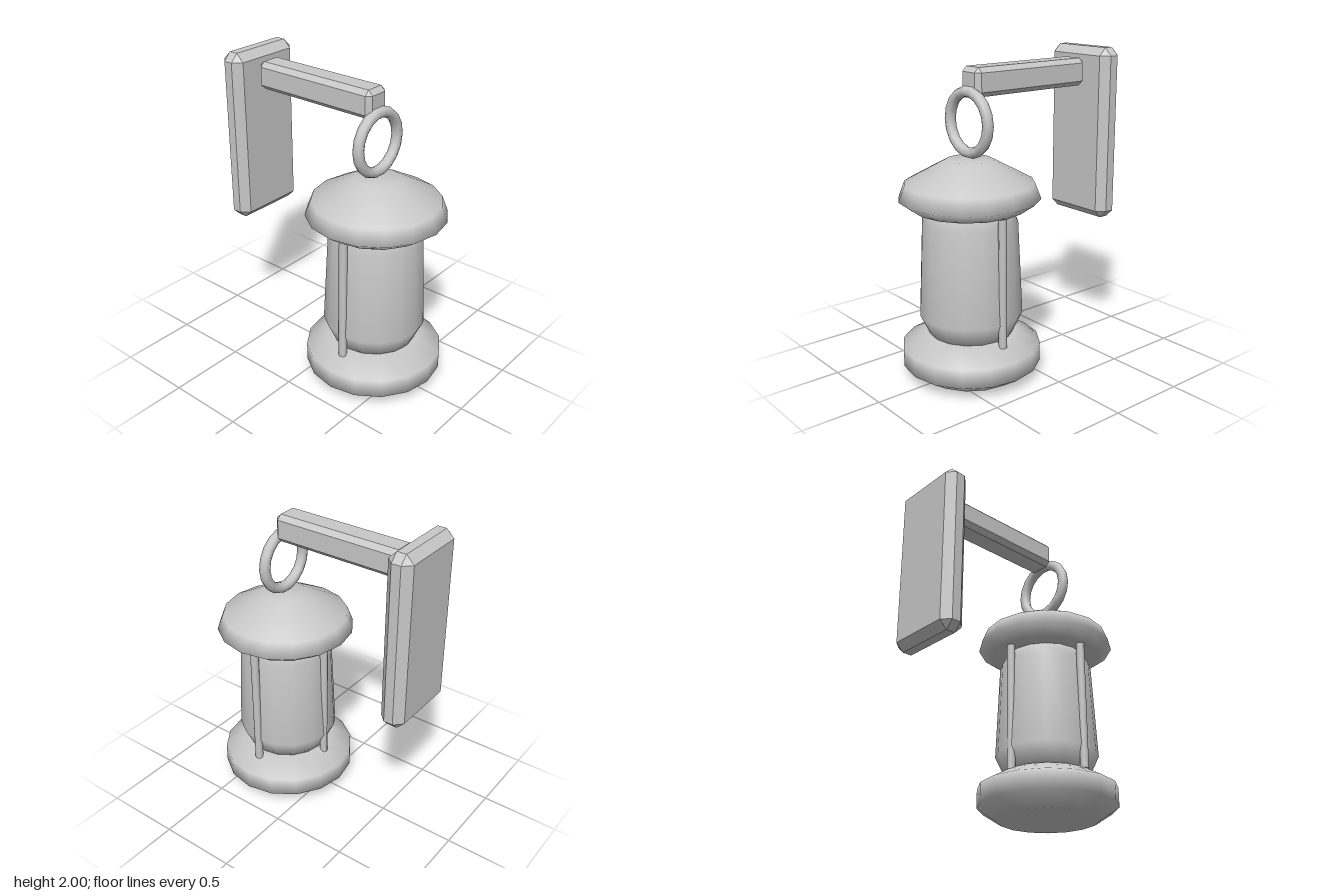
import * as THREE from 'three';
import { ConvexGeometry } from 'three/addons/geometries/ConvexGeometry.js';

const metal = new THREE.MeshStandardMaterial({ color: 0xc8c8c8 });
metal.name = 'light grey';

const LANTERN_Z = 0.302;

// Box with every edge cut by one flat bevel
function beveledBox(w, h, d, b) {
  const pts = [];
  for (const sx of [-1, 1]) for (const sy of [-1, 1]) for (const sz of [-1, 1]) {
    const x = w / 2, y = h / 2, z = d / 2;
    pts.push(
      new THREE.Vector3(sx * x, sy * (y - b), sz * (z - b)),
      new THREE.Vector3(sx * (x - b), sy * y, sz * (z - b)),
      new THREE.Vector3(sx * (x - b), sy * (y - b), sz * z)
    );
  }
  return new ConvexGeometry(pts);
}

// Sixteen-sided turned shape from [radius, height] pairs, bottom to top
function turned(profile) {
  return new THREE.LatheGeometry(profile.map(([r, y]) => new THREE.Vector2(r, y)), 16);
}

export function createModel() {
  const model = new THREE.Group();
  model.name = 'wallLantern';

  const add = (parent, name, geometry, x = 0, y = 0, z = 0) => {
    const mesh = new THREE.Mesh(geometry, metal);
    mesh.name = name;
    mesh.position.set(x, y, z);
    parent.add(mesh);
    return mesh;
  };

  // Wall bracket
  add(model, 'wallPlate', beveledBox(0.514, 1.115, 0.16, 0.05), 0, 1.4425, -0.66);
  add(model, 'arm', beveledBox(0.176, 0.175, 0.88, 0.03), 0, 1.8425, -0.14);

  // Hanging lantern
  const lantern = new THREE.Group();
  lantern.name = 'lantern';
  lantern.position.z = LANTERN_Z;
  model.add(lantern);

  add(lantern, 'hangingRing', new THREE.TorusGeometry(0.184, 0.034, 8, 18), 0, 1.603, 0);
  add(lantern, 'base', turned([
    [0, 0], [0.315, 0], [0.437, 0.08], [0.437, 0.2], [0.29, 0.28], [0, 0.28]
  ]));
  add(lantern, 'lampBody', turned([
    [0, 0.27], [0.262, 0.27], [0.325, 0.405], [0.297, 1.0], [0.23, 1.12], [0, 1.12]
  ]));
  add(lantern, 'lid', turned([
    [0, 1.083], [0.35, 1.083], [0.437, 1.145], [0.4, 1.24], [0.14, 1.382], [0, 1.382]
  ]));

  // Guard rods on both sides and at the back
  const rod = new THREE.CylinderGeometry(0.026, 0.026, 0.86, 8);
  add(lantern, 'leftRod', rod, 0.315, 0.69, 0);
  add(lantern, 'rightRod', rod, -0.315, 0.69, 0);
  add(lantern, 'backRod', rod, 0, 0.69, -0.305);

  return model;
}
